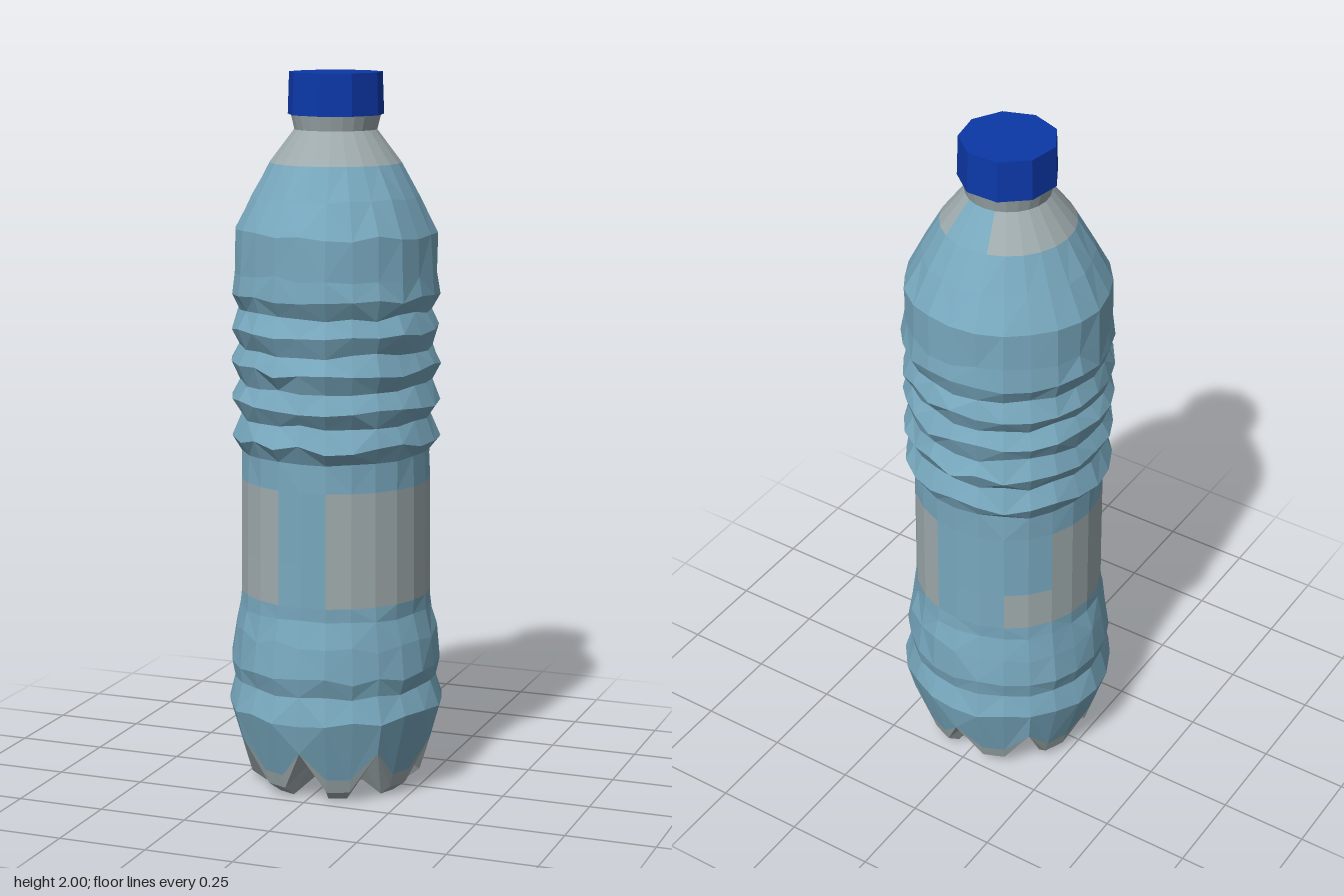
import * as THREE from 'three';

const SIDES = 24; // 15 degrees per column, column 0 starts at the front and turns towards +x

// Small seeded generator for the slightly crumpled plastic
function seeded(seed) {
  return () => {
    seed = (seed * 16807) % 2147483647;
    return seed / 2147483647 - 0.5;
  };
}

// Side profile above the feet: [y, radius, wobble in y]
const PROFILE = [
  [0.24, 0.305, 0.02], [0.31, 0.282, 0.012], [0.36, 0.295, 0.02], [0.45, 0.284, 0.03], [0.52, 0.268, 0.01],
  [0.56, 0.267, 0], [0.68, 0.266, 0], [0.88, 0.265, 0], [0.96, 0.265, 0.01],
  [1.0, 0.289, 0.025], [1.06, 0.266, 0.015], [1.105, 0.289, 0.025], [1.155, 0.266, 0.015],
  [1.205, 0.289, 0.025], [1.255, 0.266, 0.015], [1.305, 0.289, 0.025], [1.355, 0.267, 0.015],
  [1.40, 0.289, 0.015], [1.46, 0.281, 0.02], [1.57, 0.279, 0.02], [1.665, 0.232, 0.01],
  [1.755, 0.182, 0], [1.845, 0.114, 0], [1.89, 0.125, 0],
];

// Foot rings, centre outwards: [notch y, notch radius, foot y, foot radius]
const FEET = [
  [0.05, 0, 0.05, 0], [0.10, 0.17, 0.0, 0.20], [0.15, 0.284, 0.03, 0.24], [0.15, 0.284, 0.07, 0.252],
];

function buildRings() {
  const rand = seeded(77);
  const rings = FEET.map(([ny, nr, fy, fr]) => {
    const ring = [];
    for (let i = 0; i < SIDES; i++) {
      const a = (i / SIDES) * Math.PI * 2;
      const notch = i % 3 === 0;
      const r = notch ? nr : fr;
      ring.push(new THREE.Vector3(r * Math.sin(a), notch ? ny : fy, r * Math.cos(a)));
    }
    return ring;
  });
  for (const [y, radius, wobble] of PROFILE) {
    const ring = [];
    for (let i = 0; i < SIDES; i++) {
      const a = (i / SIDES) * Math.PI * 2;
      const r = radius + rand() * (wobble > 0 ? 0.008 : 0);
      ring.push(new THREE.Vector3(r * Math.sin(a), y + rand() * wobble, r * Math.cos(a)));
    }
    rings.push(ring);
  }
  return rings;
}

// Which part the cell above a ring belongs to
function partAt(ring, col) {
  const n = ring - FEET.length;
  const deg = col * 15;
  if (n < -1) return 'base';
  const sidePatch = (deg >= 15 && deg < 165) || (deg >= 240 && deg < 345);
  if (n === 5 && (sidePatch || (deg >= 210 && deg < 240))) return 'labelPatches';
  if (n === 6 && sidePatch) return 'labelPatches';
  if (n === PROFILE.length - 3 && !(deg >= 150 && deg < 195)) return 'shoulderPatch';
  if (n === PROFILE.length - 2) return 'neck';
  return 'body';
}

export function createModel() {
  const blue = new THREE.MeshStandardMaterial({ color: 0x78a8be });
  blue.name = 'pale blue plastic';
  const grey = new THREE.MeshStandardMaterial({ color: 0x9fabad });
  grey.name = 'clear grey plastic';
  const navy = new THREE.MeshStandardMaterial({ color: 0x0c38a8 });
  navy.name = 'cap blue';

  const group = new THREE.Group();
  group.name = 'bottle';

  // Skin the rings, sorting the faces into parts
  const parts = { body: [], base: [], labelPatches: [], shoulderPatch: [], neck: [] };
  const rings = buildRings();
  const tri = new THREE.Triangle();
  const addFace = (part, a, b, c) => {
    tri.set(a, b, c);
    if (tri.getArea() > 1e-7) for (const p of [a, b, c]) parts[part].push(p.x, p.y, p.z);
  };
  for (let k = 0; k < rings.length - 1; k++) {
    for (let i = 0; i < SIDES; i++) {
      const j = (i + 1) % SIDES;
      const [b0, b1, a0, a1] = [rings[k][i], rings[k][j], rings[k + 1][i], rings[k + 1][j]];
      const part = partAt(k, i);
      if ((i + k) % 2) {
        addFace(part, b0, b1, a1);
        addFace(part, b0, a1, a0);
      } else {
        addFace(part, b0, b1, a0);
        addFace(part, b1, a1, a0);
      }
    }
  }
  for (const [name, positions] of Object.entries(parts)) {
    const geometry = new THREE.BufferGeometry();
    geometry.setAttribute('position', new THREE.Float32BufferAttribute(positions, 3));
    geometry.computeVertexNormals(); // unshared corners keep every facet flat
    const mesh = new THREE.Mesh(geometry, name === 'body' ? blue : grey);
    mesh.name = name;
    group.add(mesh);
  }

  // Screw cap
  const capGeometry = new THREE.CylinderGeometry(0.13, 0.134, 0.115, 9).toNonIndexed();
  capGeometry.computeVertexNormals();
  const cap = new THREE.Mesh(capGeometry, navy);
  cap.name = 'cap';
  cap.position.y = 1.9425;
  group.add(cap);

  return group;
}
